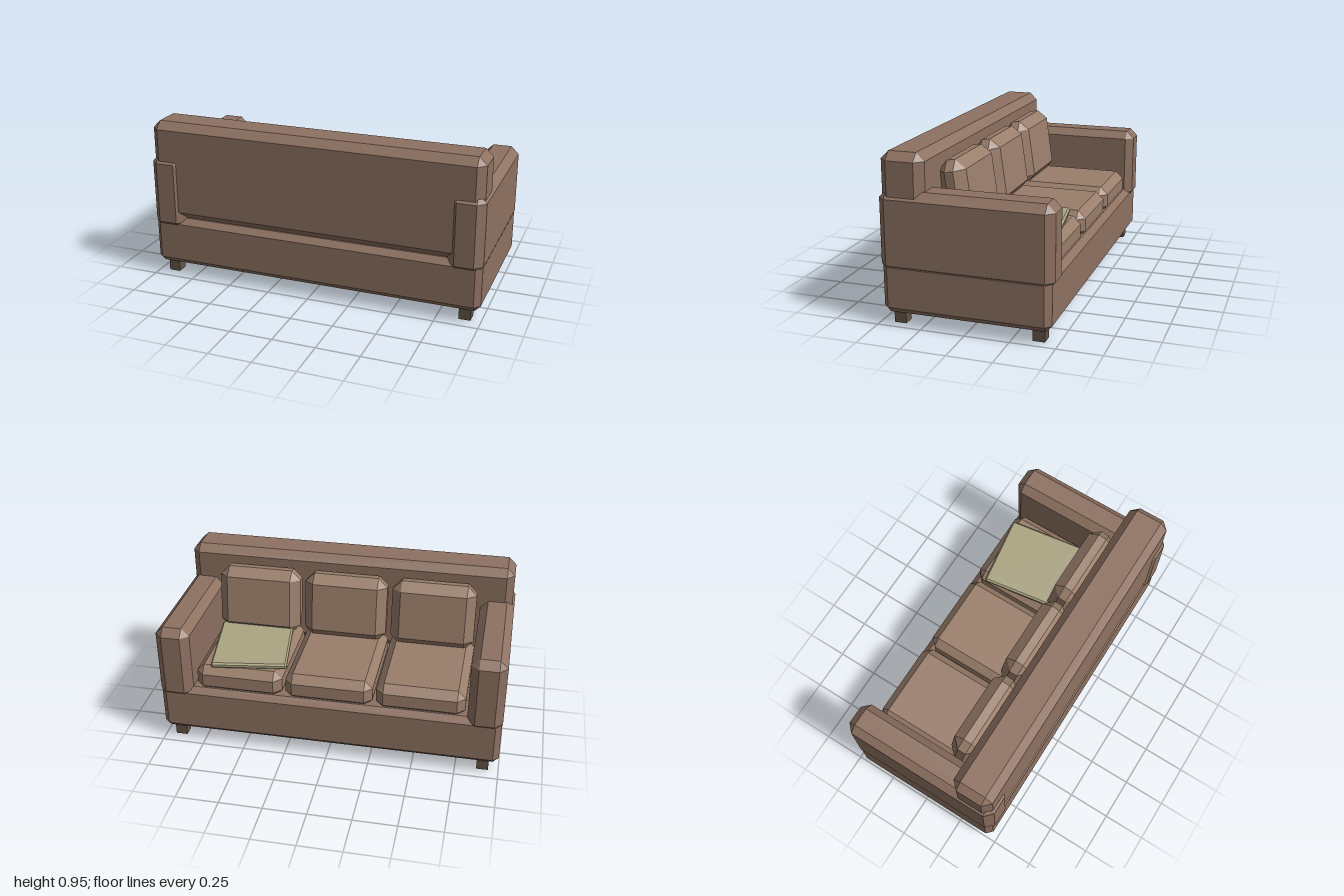
import * as THREE from 'three';
import { ConvexGeometry } from 'three/addons/geometries/ConvexGeometry.js';

const material = (color) => new THREE.MeshStandardMaterial({ color, flatShading: true });

// Box with flat chamfers on every edge and triangular corners
function chamferBox(w, h, d, b) {
  const points = [];
  for (const sx of [-1, 1]) for (const sy of [-1, 1]) for (const sz of [-1, 1]) {
    for (let axis = 0; axis < 3; axis++) {
      const inset = [b, b, b];
      inset[axis] = 0;
      points.push(new THREE.Vector3(
        sx * (w / 2 - inset[0]), sy * (h / 2 - inset[1]), sz * (d / 2 - inset[2])));
    }
  }
  return new ConvexGeometry(points);
}

export function createModel() {
  const group = new THREE.Group();
  const fabric = material(0x8e7262);
  const cushionFabric = material(0x9a7e6b);
  const pillowFabric = material(0xaba583);
  const wood = material(0x625344);

  const add = (name, geometry, mat, x, y, z) => {
    const mesh = new THREE.Mesh(geometry, mat);
    mesh.name = name;
    mesh.position.set(x, y, z);
    group.add(mesh);
    return mesh;
  };

  // Frame: base and backrest (the backrest stands at +z)
  add('base', chamferBox(1.994, 0.295, 0.94, 0.034), fabric, 0, 0.2175, 0);
  add('backrest', chamferBox(1.976, 0.592, 0.246, 0.045), fabric, 0, 0.659, 0.347);

  // Arms and feet, mirrored
  for (const side of [-1, 1]) {
    const label = side > 0 ? 'left' : 'right';
    add(label + 'Arm', chamferBox(0.2, 0.455, 0.966, 0.045), fabric, side * 0.9, 0.5225, 0);
    for (const end of [-1, 1]) {
      add(label + 'Foot', new THREE.BoxGeometry(0.068, 0.08, 0.068), wood,
        side * 0.908, 0.04, end * 0.392);
    }
  }

  // Three seat cushions with three leaning back cushions
  for (let i = -1; i <= 1; i++) {
    add('seatCushion', chamferBox(0.51, 0.165, 0.66, 0.045), cushionFabric,
      i * 0.53, 0.4175, -0.11);
    const back = add('backCushion', chamferBox(0.5, 0.4, 0.16, 0.055), cushionFabric,
      i * 0.53, 0.676, 0.142);
    back.rotation.x = 0.14;
  }

  // Thin pillow lying askew on one seat
  const pillow = add('pillow', chamferBox(0.44, 0.034, 0.5, 0.01), pillowFabric,
    0.51, 0.512, -0.145);
  pillow.rotation.y = 0.148;

  return group;
}
